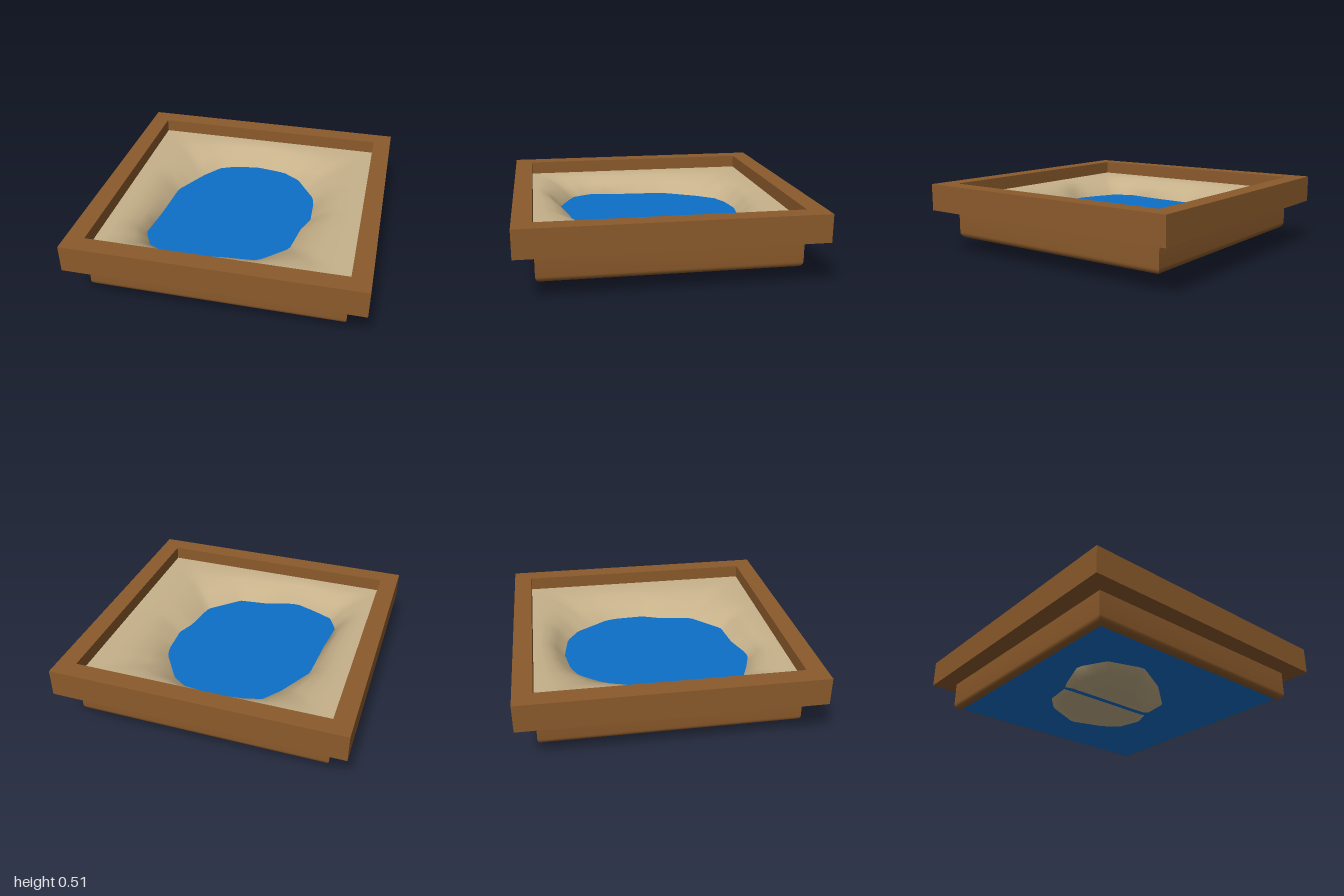
import * as THREE from 'three';
import { toCreasedNormals } from 'three/addons/utils/BufferGeometryUtils.js';

const SEG = 96;

// distance from the centre to a closed [x, z] outline along one angle
function reach(outline, angle) {
  const c = Math.cos(angle), s = Math.sin(angle);
  let best = 0;
  outline.forEach(([ax, az], i) => {
    const [bx, bz] = outline[(i + 1) % outline.length];
    const ex = bx - ax, ez = bz - az;
    const den = c * ez - s * ex;
    if (Math.abs(den) < 1e-9) return;
    const r = (ax * ez - az * ex) / den;
    const k = (ax * s - az * c) / den;
    if (k > -1e-6 && k < 1 + 1e-6 && r > best) best = r;
  });
  return best;
}

// square-plan solid swept from a [half width, y] profile
function squareSweep(profile) {
  const pts = profile.map(([w, y]) => new THREE.Vector2(w * Math.SQRT2, y));
  const geo = new THREE.LatheGeometry(pts, 4);
  geo.rotateY(Math.PI / 4);
  return toCreasedNormals(geo, 0.75);
}

// sandy basin: rings from the square border down to the pool floor
function basinGeometry() {
  const border = [[0.87, -0.87], [0.87, 0.87], [-0.87, 0.87], [-0.87, -0.87]];
  const shore = [
    [0.5, 0], [0.45, 0.13], [0.41, 0.38], [0.2, 0.58], [-0.02, 0.605], [-0.2, 0.665],
    [-0.26, 0.67], [-0.42, 0.61], [-0.55, 0.55], [-0.62, 0.42], [-0.59, 0.15],
    [-0.57, -0.18], [-0.43, -0.44], [-0.33, -0.57], [-0.22, -0.62], [-0.03, -0.65],
    [0.19, -0.615], [0.32, -0.53], [0.47, -0.3], [0.49, -0.22],
  ];
  const floorEdge = [
    [0.26, 0.22], [0.02, 0.43], [-0.25, 0.58], [-0.5, 0.5], [-0.6, 0.31], [-0.5, 0.05],
    [-0.46, -0.02], [-0.43, -0.22], [-0.32, -0.35], [-0.05, -0.48], [0.2, -0.4],
    [0.31, -0.31], [0.35, -0.14], [0.29, 0],
  ];
  const bank = [[1, 0.415], [0.75, 0.413], [0.5, 0.398], [0.25, 0.355], [0, 0.28]];
  const floor = [1, 0.85, 0.7, 0.55, 0.4, 0.2, 0];
  const pos = [], index = [];

  const rings = bank.length + floor.length;
  for (let r = 0; r < rings; r++) {
    for (let i = 0; i < SEG; i++) {
      const a = (i / SEG) * Math.PI * 2;
      let d, y;
      if (r < bank.length) {
        d = THREE.MathUtils.lerp(reach(shore, a), reach(border, a), bank[r][0]);
        y = bank[r][1];
      } else {
        // two hollows parted by a low ridge
        const t = floor[r - bank.length];
        d = reach(floorEdge, a) * t;
        const z = d * Math.sin(a);
        const hollow = Math.min(1, Math.abs(z) / 0.24);
        const depth = THREE.MathUtils.lerp(0.118, z > 0 ? 0 : 0.04, hollow);
        y = THREE.MathUtils.lerp(0.11, depth, Math.min(1, (1 - t) * 2.4));
      }
      pos.push(d * Math.cos(a), y, d * Math.sin(a));
    }
  }
  for (let r = 0; r < rings - 1; r++) {
    for (let i = 0; i < SEG; i++) {
      const j = (i + 1) % SEG;
      const o = r * SEG, n = o + SEG;
      index.push(o + i, n + i, o + j, n + i, n + j, o + j);
    }
  }
  const geo = new THREE.BufferGeometry();
  geo.setAttribute('position', new THREE.Float32BufferAttribute(pos, 3));
  geo.setIndex(index);
  geo.computeVertexNormals();
  return geo;
}

export function createModel() {
  const wood = new THREE.MeshStandardMaterial({ color: 0x8b5a2b });
  wood.name = 'wood brown';
  const sand = new THREE.MeshStandardMaterial({ color: 0xc6b18a, side: THREE.DoubleSide });
  sand.name = 'sand';
  const blue = new THREE.MeshStandardMaterial({ color: 0x0e6fc8 });
  blue.name = 'water blue';

  const group = new THREE.Group();
  const add = (name, geo, material) => {
    const mesh = new THREE.Mesh(geo, material);
    mesh.name = name;
    group.add(mesh);
    return mesh;
  };

  // wide upper frame
  add('rim', squareSweep([[1, 0.32], [1, 0.51], [0.87, 0.51], [0.87, 0.32], [1, 0.32]]), wood);

  // lower tray wall with a rounded bottom edge
  const wall = [];
  for (let i = 0; i <= 6; i++) {
    const a = (i / 6) * Math.PI / 2;
    wall.push([0.825 + 0.045 * Math.sin(a), 0.155 - 0.045 * Math.cos(a)]);
  }
  wall.push([0.87, 0.32]);
  add('tray', squareSweep(wall), wood);

  // block of water that also closes the underside
  add('water', new THREE.BoxGeometry(1.65, 0.17, 1.65), blue).position.y = 0.195;

  add('sandBasin', basinGeometry(), sand);
  return group;
}
